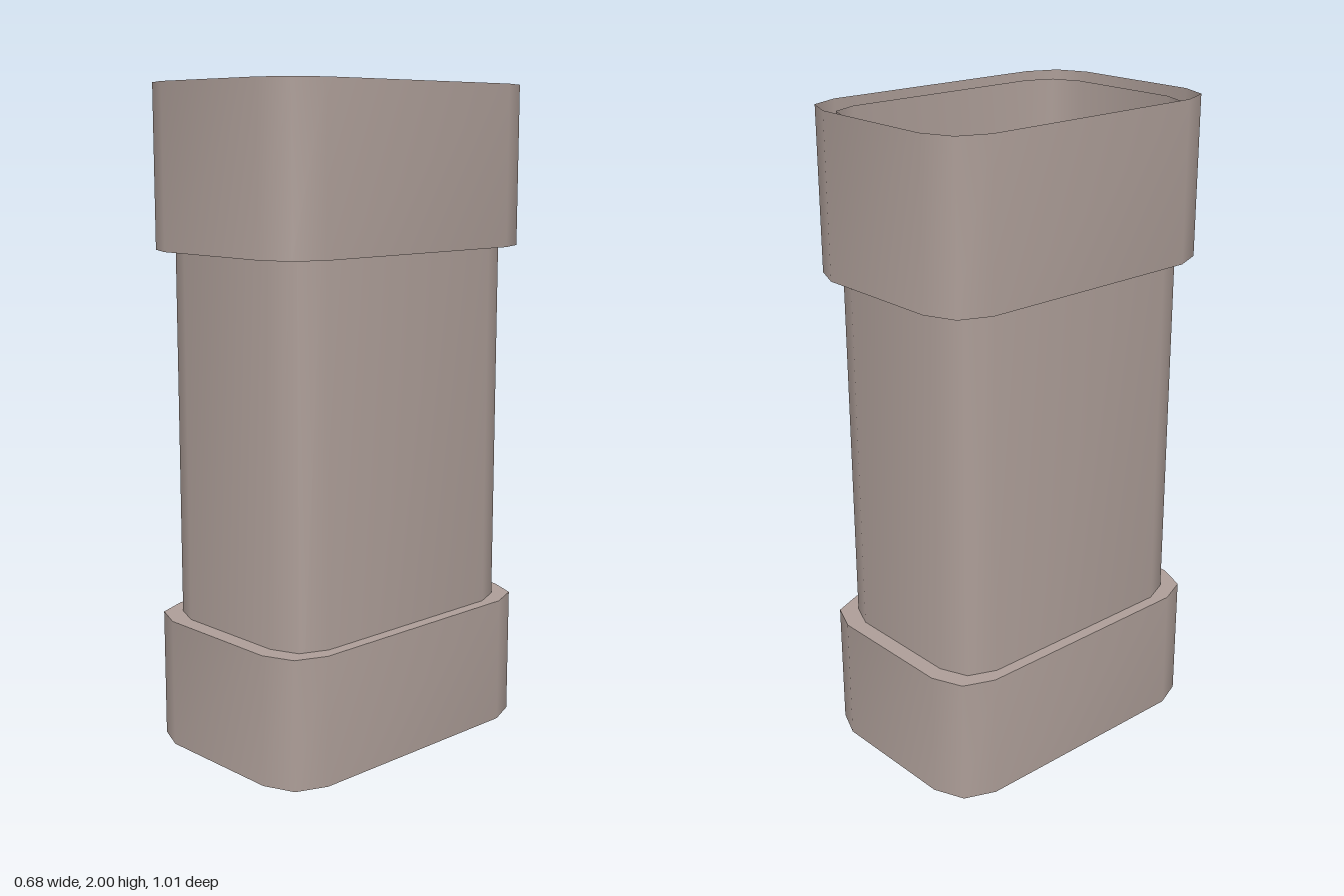
import * as THREE from 'three';
import { toCreasedNormals } from 'three/addons/utils/BufferGeometryUtils.js';

// Rectangle outline with two-step rounded corners, as [x, z] pairs
function outline(halfX, halfZ, radius) {
  const points = [];
  for (let corner = 0; corner < 4; corner++) {
    const sx = corner < 2 ? 1 : -1;
    const sz = corner === 0 || corner === 3 ? 1 : -1;
    for (let step = 0; step < 3; step++) {
      const angle = (corner + step / 2) * Math.PI / 2;
      points.push([
        sx * (halfX - radius) + radius * Math.sin(angle),
        sz * (halfZ - radius) + radius * Math.cos(angle),
      ]);
    }
  }
  return points;
}

// Open upright wall following an outline
function wallGeometry(points, y0, y1) {
  const positions = [];
  points.forEach(([ax, az], i) => {
    const [bx, bz] = points[(i + 1) % points.length];
    positions.push(ax, y0, az, bx, y0, bz, bx, y1, bz);
    positions.push(ax, y0, az, bx, y1, bz, ax, y1, az);
  });
  const geometry = new THREE.BufferGeometry();
  geometry.setAttribute('position', new THREE.Float32BufferAttribute(positions, 3));
  return toCreasedNormals(geometry, Math.PI / 3);
}

// Flat plate filling an outline, facing up
function plateGeometry(points, y) {
  const shape = new THREE.Shape(points.map(([x, z]) => new THREE.Vector2(x, -z)));
  return new THREE.ShapeGeometry(shape).rotateX(-Math.PI / 2).translate(0, y, 0);
}

export function createModel() {
  const model = new THREE.Group();
  model.name = 'collaredTube';
  const clay = new THREE.MeshStandardMaterial({ color: 0xac9d97, side: THREE.DoubleSide });
  clay.name = 'greyClay';

  function add(parent, name, geometry) {
    const mesh = new THREE.Mesh(geometry, clay);
    mesh.name = name;
    parent.add(mesh);
  }

  const collarOutline = outline(0.342, 0.505, 0.133);
  const tubeOutline = outline(0.305, 0.453, 0.12);

  // Long inner tube, open at both ends
  add(model, 'tube', wallGeometry(tubeOutline, 0, 1.98));

  // Collars: thin shells closed on the side facing the middle
  const collars = [
    ['lowerCollar', 0, 0.395, 0.395],
    ['upperCollar', 1.515, 2, 1.515],
  ];
  for (const [name, y0, y1, plateY] of collars) {
    const collar = new THREE.Group();
    collar.name = name;
    add(collar, name + 'Wall', wallGeometry(collarOutline, y0, y1));
    add(collar, name + 'Plate', plateGeometry(collarOutline, plateY));
    model.add(collar);
  }
  return model;
}
